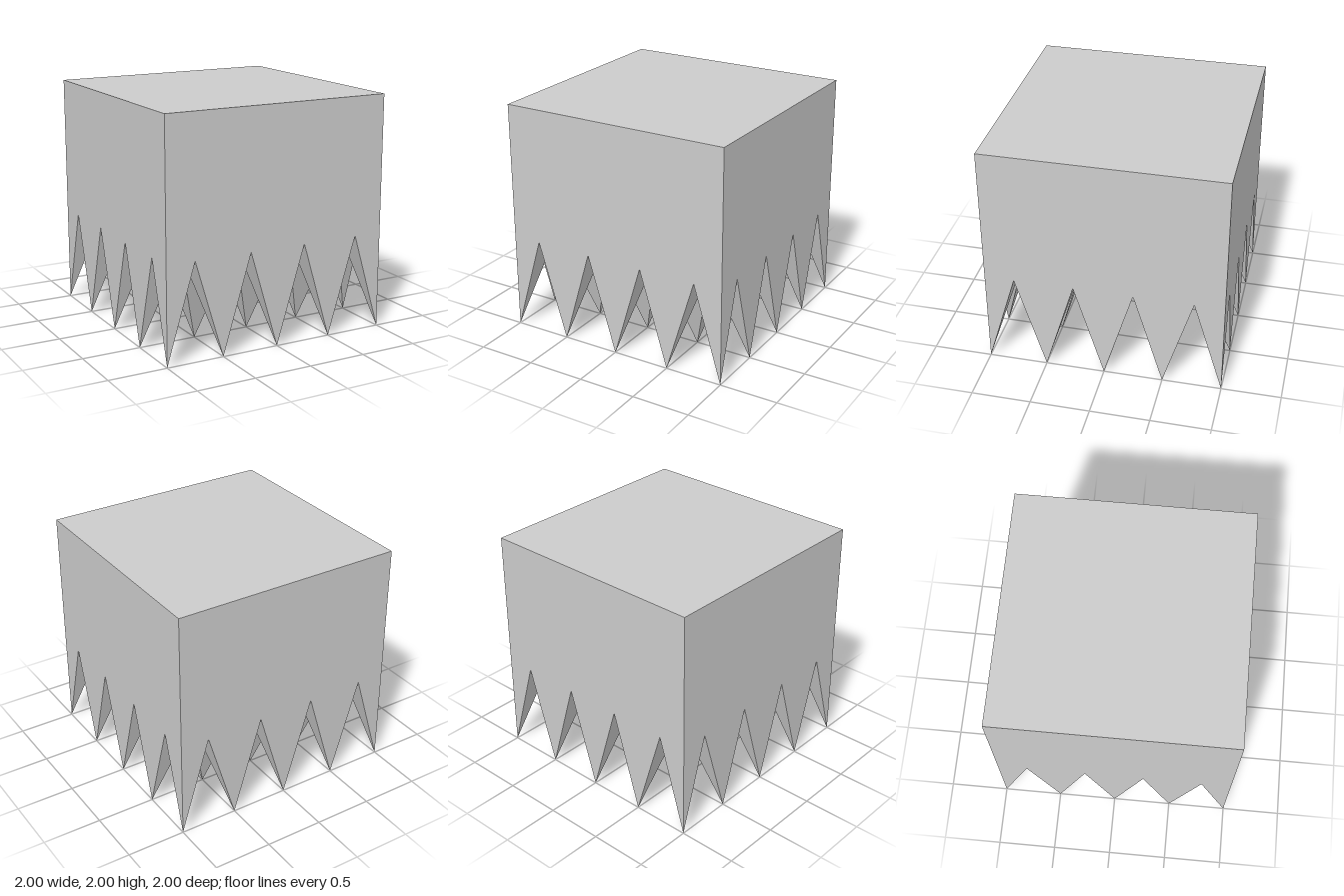
import * as THREE from 'three';

const TIPS = 5;        // spike tips along each side
const STEP = 0.5;      // distance between tips
const ROOT = 0.83;     // height where the spikes meet
const TOP = 2;

// One zigzag-edged side wall, facing +z at z = 1
function wallGeometry() {
  const shape = new THREE.Shape();
  shape.moveTo(-1, TOP);
  for (let i = 0; i < TIPS; i++) {
    const x = -1 + i * STEP;
    shape.lineTo(x, 0);
    if (i < TIPS - 1) shape.lineTo(x + STEP / 2, ROOT);
  }
  shape.lineTo(1, TOP);
  shape.closePath();
  return new THREE.ShapeGeometry(shape).translate(0, 0, 1);
}

// Grid of downward square pyramids, cut off flush at the walls
function spikesGeometry() {
  const positions = [];
  const clamp = (v) => THREE.MathUtils.clamp(v, -1, 1);
  for (let i = 0; i < TIPS; i++) {
    for (let j = 0; j < TIPS; j++) {
      const x = -1 + i * STEP, z = -1 + j * STEP;
      const x0 = clamp(x - STEP / 2), x1 = clamp(x + STEP / 2);
      const z0 = clamp(z - STEP / 2), z1 = clamp(z + STEP / 2);
      const corners = [[x0, z0], [x1, z0], [x1, z1], [x0, z1]];
      corners.forEach((a, k) => {
        const b = corners[(k + 1) % 4];
        // A face lying in a wall is already part of that wall
        if ((a[0] === x && b[0] === x) || (a[1] === z && b[1] === z)) return;
        positions.push(x, 0, z, a[0], ROOT, a[1], b[0], ROOT, b[1]);
      });
    }
  }
  const geometry = new THREE.BufferGeometry();
  geometry.setAttribute('position', new THREE.Float32BufferAttribute(positions, 3));
  geometry.computeVertexNormals();
  return geometry;
}

export function createModel() {
  const model = new THREE.Group();
  model.name = 'spikedBlock';
  const material = new THREE.MeshStandardMaterial({ color: 0xcccccc, flatShading: true });
  const add = (name, geometry) => {
    const mesh = new THREE.Mesh(geometry, material);
    mesh.name = name;
    model.add(mesh);
    return mesh;
  };

  // Four side walls
  const wall = wallGeometry();
  ['frontWall', 'leftWall', 'backWall', 'rightWall'].forEach((name, i) => {
    add(name, wall).rotation.y = i * Math.PI / 2;
  });

  // Flat top
  add('top', new THREE.PlaneGeometry(2, 2).rotateX(-Math.PI / 2).translate(0, TOP, 0));

  // Spiked underside
  add('spikes', spikesGeometry());

  return model;
}
